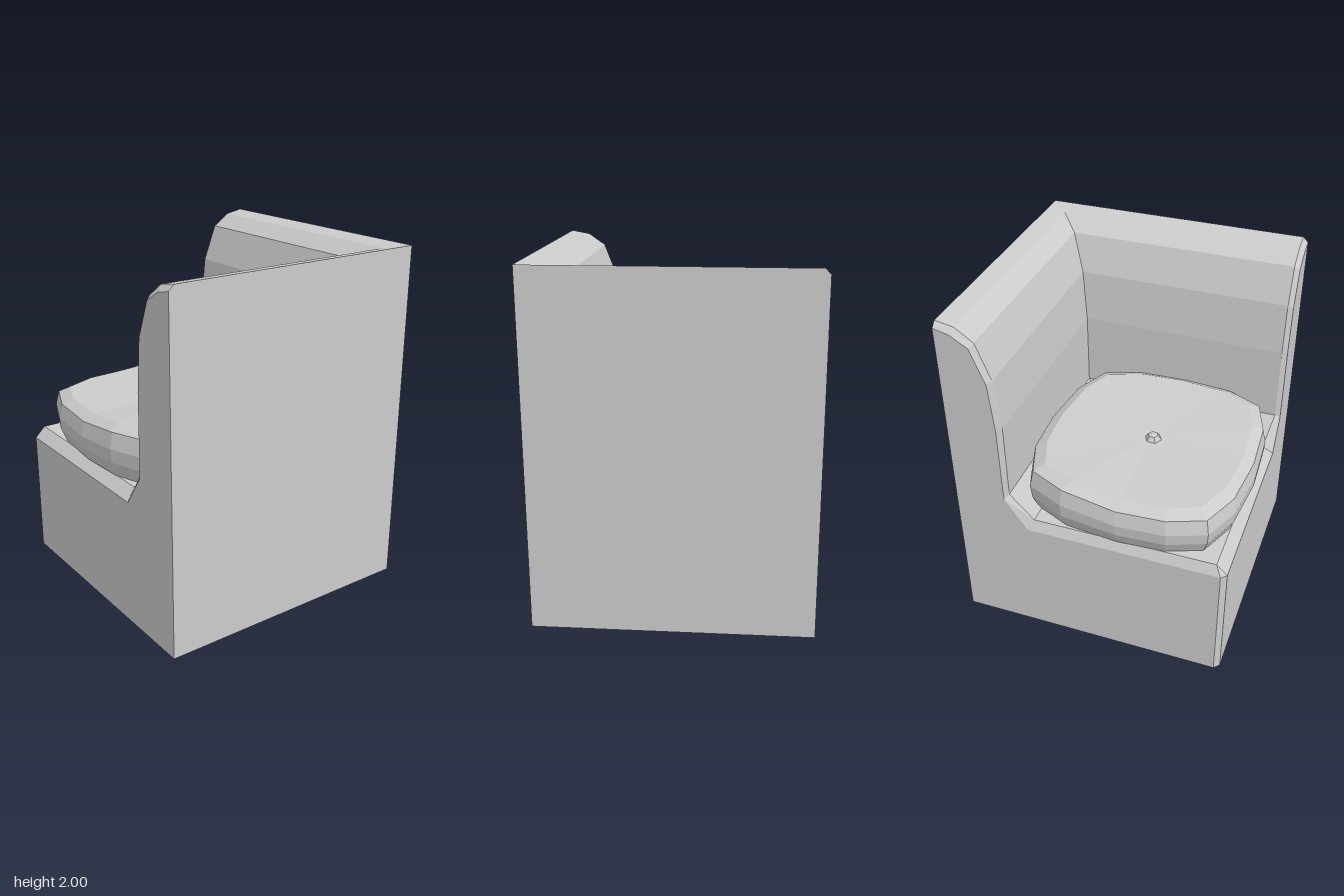
import * as THREE from 'three';

const material = () => new THREE.MeshStandardMaterial({ color: 0xcccccc, flatShading: true, side: THREE.DoubleSide });

// Collects convex polygons (counter-clockwise from outside) into one mesh
function polyMesh(name, polys) {
  const pos = [];
  for (const p of polys)
    for (let i = 1; i < p.length - 1; i++) pos.push(...p[0], ...p[i], ...p[i + 1]);
  const geo = new THREE.BufferGeometry();
  geo.setAttribute('position', new THREE.Float32BufferAttribute(pos, 3));
  geo.computeVertexNormals();
  const mesh = new THREE.Mesh(geo, material());
  mesh.name = name;
  return mesh;
}

// Corner seat body: one seat-and-backrest profile swept round a mitred corner
function createBody() {
  // [distance towards the outer wall, height]
  const full = [[-0.74, 0.8], [0.33, 0.8], [0.47, 0.95], [0.47, 1.4], [0.5, 1.7], [0.58, 1.91], [0.68, 1.98], [0.787, 2]];
  // the same profile pulled in by the chamfer at both open ends
  const inset = [[-0.74, 0.74], [0.36, 0.74], [0.49, 0.93], [0.495, 1.4], [0.52, 1.69], [0.6, 1.89], [0.7, 1.95], [0.787, 1.97]];
  const last = full.length - 1;
  const s = [
    inset.map(([d, y]) => [d, y, 0.787]),
    full.map(([d, y], j) => [d, y, j < 2 ? 0.725 : 0.757]),
    full.map(([d, y]) => [d, y, Math.min(0.725, -d)]),
    full.map(([d, y]) => [-0.74, y, Math.min(0.725, -d)]),
    inset.map(([d, y], j) => [-0.77, y, j ? -d : 0.757]),
  ];
  const drop = (p) => [p[0], 0, p[2]];
  const polys = [];

  // padded surface and chamfers
  for (let i = 0; i < 4; i++)
    for (let j = 0; j < last; j++) polys.push([s[i][j], s[i][j + 1], s[i + 1][j + 1], s[i + 1][j]]);

  // the two open end walls
  for (let j = 0; j < last; j++) {
    const [a, b, c, d] = [s[0][j], s[0][j + 1], s[4][j], s[4][j + 1]];
    polys.push([drop(a), drop(b), b, a], [drop(d), drop(c), c, d]);
  }

  // bevelled front corner, outer walls and underside
  const [a, b, c, d, e] = [s[0][0], s[0][last], s[2][last], s[4][last], s[4][0]];
  polys.push([drop(e), drop(a), a, e], [e, a, s[1][0]]);
  polys.push([drop(b), drop(c), c, s[1][last], b]);
  polys.push([drop(c), drop(d), d, s[3][last], c]);
  polys.push([e, d, c, b, a].map(drop));
  return polyMesh('cornerBody', polys);
}

// Loose seat cushion: stacked rounded-square rings, sagging at the front right
function createCushion() {
  const quarter = [[1, 0], [0.95, 0.51], [0.8, 0.85], [0.46, 0.975]];
  const outline = [];
  for (let k = 0; k < 4; k++)
    for (const [u, v] of quarter) outline.push([[u, v], [-v, u], [-u, -v], [v, -u]][k]);
  const rings = [[0.8, 0.79], [0.94, 0.8], [0.99, 0.88], [1, 0.95], [0.97, 1.035], [0.87, 1.07]];
  const lift = (u, v, y) => 0.035 * THREE.MathUtils.smoothstep(Math.max(u, -v), 0, 0.6) * THREE.MathUtils.smoothstep(y, 0.78, 1.05);
  const place = (u, v, y) => [-0.14 + u * 0.65, y + lift(u, v, y), 0.165 + v * (v > 0 ? 0.617 : 0.64)];
  const pts = rings.map(([r, y]) => outline.map(([u, v]) => place(u * r, v * r, y)));
  const top = place(0, 0, 1.07);
  const bottom = place(0, 0, 0.785);
  const polys = [];
  const n = outline.length;
  for (let k = 0; k < n; k++) {
    const m = (k + 1) % n;
    for (let i = 0; i < rings.length - 1; i++)
      polys.push([pts[i][m], pts[i][k], pts[i + 1][k], pts[i + 1][m]]);
    polys.push([pts[rings.length - 1][m], pts[rings.length - 1][k], top]);
    polys.push([pts[0][k], pts[0][m], bottom]);
  }
  return polyMesh('seatCushion', polys);
}

export function createModel() {
  const group = new THREE.Group();
  group.name = 'cornerSofaSeat';
  group.add(createBody(), createCushion());

  // Hexagonal tuft button with a small domed cap
  const profile = [[0.04, 1.05], [0.05, 1.07], [0.03, 1.098], [0, 1.105]].map(([r, y]) => new THREE.Vector2(r, y));
  const button = new THREE.Mesh(new THREE.LatheGeometry(profile, 6), material());
  button.name = 'cushionButton';
  button.position.set(-0.145, 0, 0.17);
  group.add(button);
  return group;
}
